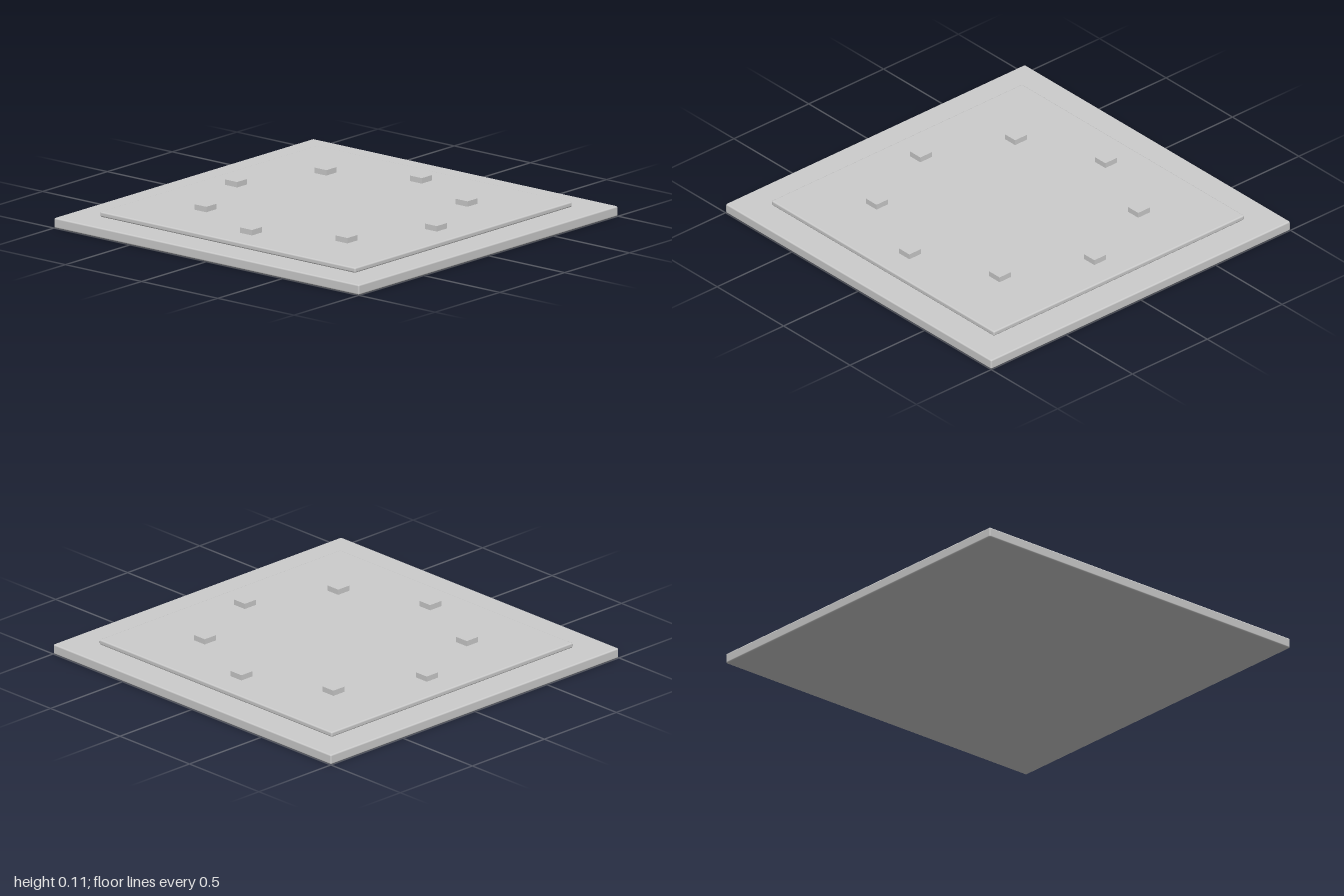
import * as THREE from 'three';
import { RoundedBoxGeometry } from 'three/addons/geometries/RoundedBoxGeometry.js';

export function createModel() {
  const group = new THREE.Group();
  const material = new THREE.MeshStandardMaterial({ color: 0xcccccc });

  function add(name, geometry, x, y, z) {
    const mesh = new THREE.Mesh(geometry, material);
    mesh.name = name;
    mesh.position.set(x, y, z);
    group.add(mesh);
  }

  // Two stacked square slabs with softened edges
  const baseTop = 0.053, plateTop = 0.08;
  add('baseSlab', new RoundedBoxGeometry(2, baseTop, 2, 3, 0.008), 0, baseTop / 2, 0);
  const plateHeight = plateTop - baseTop;
  add('upperPlate', new RoundedBoxGeometry(1.675, plateHeight, 1.675, 3, 0.008), 0, baseTop + plateHeight / 2, 0);

  // Ring of eight square studs, all aligned with the slab
  const studHeight = 0.028, ringRadius = 0.655;
  const stud = new THREE.BoxGeometry(0.078, studHeight, 0.078);
  for (let i = 0; i < 8; i++) {
    const a = (i * Math.PI) / 4;
    add(`stud${i + 1}`, stud, ringRadius * Math.cos(a), plateTop + studHeight / 2, ringRadius * Math.sin(a));
  }
  return group;
}
